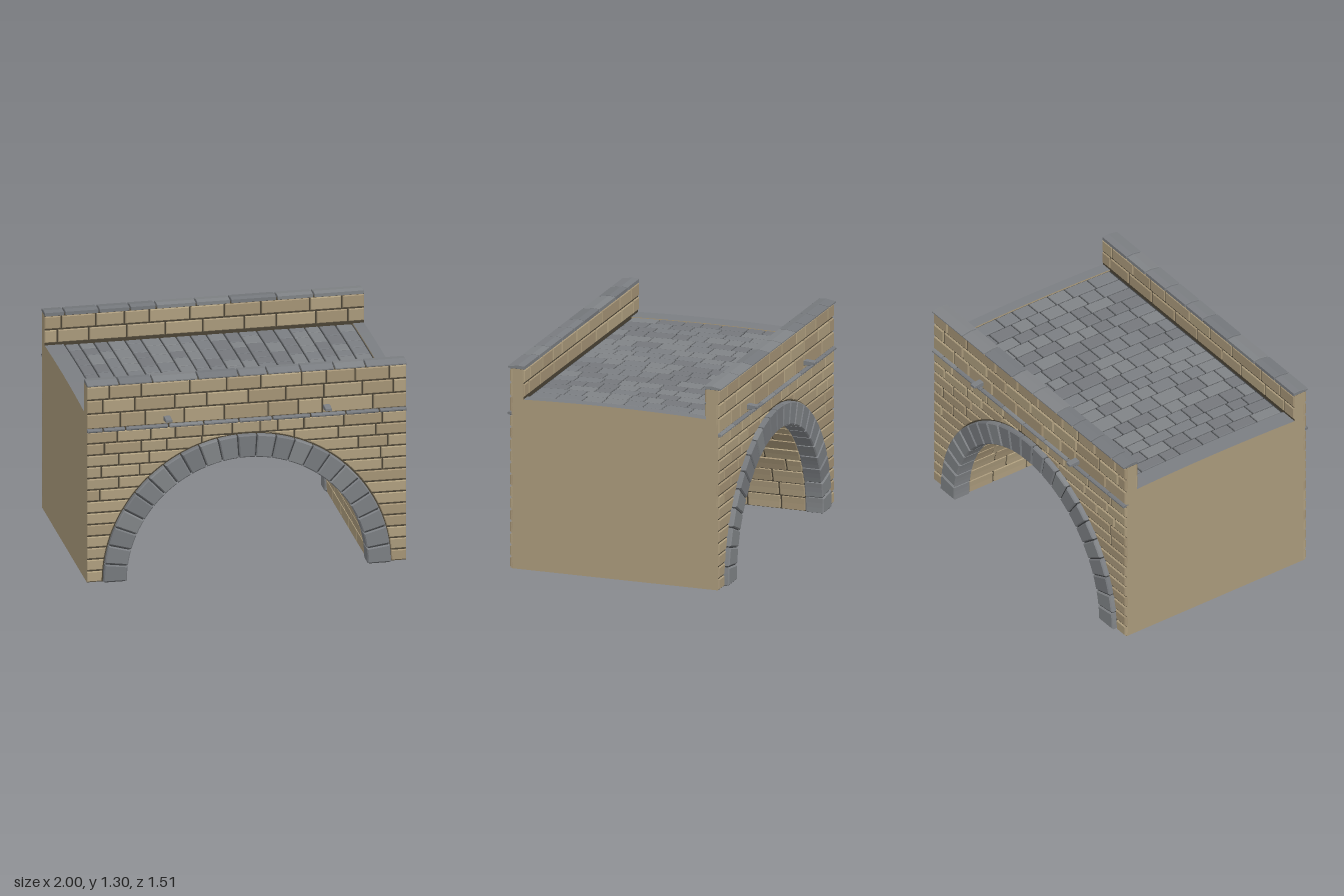
import * as THREE from 'three';
import { mergeGeometries } from 'three/addons/utils/BufferGeometryUtils.js';

const mat = (color, side = THREE.FrontSide) => new THREE.MeshStandardMaterial({ color, side });
const TAN = mat(0xa9997b), MORTAR = mat(0x4a4335), GREY = mat(0x7b7e82), JOINT = mat(0x3c3e40);
const TANS = [TAN, mat(0xae9e7e), mat(0xa49375)];
const GREYS = [GREY, mat(0x808386), mat(0x75787c)];
const G = 0.005;                                   // half joint width

let seed = 7;
const rnd = () => (seed = (seed * 16807) % 2147483647) / 2147483647;

// Bevelled prism: outline in xy, spanning z0..z1
function prism(pts, z0, z1, b = 0.005) {
  const shape = new THREE.Shape(pts.map(p => new THREE.Vector2(p[0], p[1])));
  return new THREE.ExtrudeGeometry(shape, {
    depth: z1 - z0 - 2 * b, bevelEnabled: b > 0, bevelThickness: b, bevelSize: b,
    bevelOffset: -b, bevelSegments: 1,
  }).translate(0, 0, z0 + b);
}
// Profile given as [z, y], running along x
const alongX = (profile, x0, x1, b) => prism(profile, -x1, -x0, b).rotateY(-Math.PI / 2);
const rect = (x0, y0, x1, y1) => [[x0, y0], [x1, y0], [x1, y1], [x0, y1]];

// Ring sector outline
function sector(r0, r1, a0, a1, n = 3) {
  const pts = [];
  for (let i = 0; i <= n; i++) { const a = a0 + (a1 - a0) * i / n; pts.push([r1 * Math.cos(a), r1 * Math.sin(a)]); }
  for (let i = n; i >= 0; i--) { const a = a0 + (a1 - a0) * i / n; pts.push([r0 * Math.cos(a), r0 * Math.sin(a)]); }
  return pts;
}

function addMesh(parent, name, geo, material) {
  const m = new THREE.Mesh(geo, material);
  m.name = name;
  parent.add(m);
  return m;
}
// Spread stones over a few shades, one merged mesh per shade
function addStones(parent, name, geos, shades) {
  const bins = shades.map(() => []);
  geos.forEach(g => bins[Math.floor(rnd() * shades.length)].push(g));
  bins.forEach((b, i) => b.length && addMesh(parent, name, mergeGeometries(b), shades[i]));
}

// Split -1..1 at the joints, leaving a gap at each
function spans(joints) {
  const e = [-1, ...joints, 1];
  return e.slice(1).map((x1, i) => [e[i] + (i ? G : 0), x1 - (i < joints.length ? G : 0)]);
}

// Wall stone on the +x side, cut by the arch circle; null if nothing is left
function cutStone(x0, x1, y0, y1) {
  const R = 0.908;
  const at = y => Math.sqrt(Math.max(0, R * R - y * y));
  const xs = at(y1), xe = Math.min(at(y0), x1);
  if (x1 - xs < 0.03) return null;
  if (x0 >= xe) return rect(x0, y0, x1, y1);
  const xa = Math.max(x0, xs), n = xe - xa < 0.05 ? 1 : 6, pts = [];
  for (let i = 0; i <= n; i++) {
    const x = xa + (xe - xa) * i / n;
    pts.push([x, Math.max(y0, Math.min(y1, at(x)))]);
  }
  if (xe < x1 - 0.001) pts.push([x1, y0]);
  pts.push([x1, y1]);
  if (x0 > xs) pts.push([x0, y1]);
  return pts;
}

// Courses above the arch: bottom, top, joints
const COURSES = [
  [1.19, 1.28, [-.86, -.66, -.355, -.125, .09, .345, .5, .68, .895]],
  [1.1, 1.19, [-.9, -.7, -.45, -.25, .01, .245, .485, .725, .92]],
  [1.0, 1.1, [-.79, -.635, -.39, -.14, .135, .325, .475, .79]],
  [0.905, 0.983, [-.81, -.6, -.445, -.275, -.09, .085, .195, .36, .61, .85]],
];
// Joints of the courses beside the arch, downwards from the crown
const SIDE_JOINTS = [[-.89, -.66, -.5, -.28, 0, .3, .575, .81], [-.8, -.61, 0, .7, .885],
  [-.91, -.67, 0, .84], [-.8, 0, .85], [-.92, 0]];

function wallFace(copingJoints) {
  const face = new THREE.Group();
  face.name = 'wallFace';
  const stones = [], inner = [];
  COURSES.forEach(([y0, y1, joints], row) => spans(joints).forEach(([a, b]) => {
    stones.push(prism(rect(a, y0 + G, b, y1 - G), 0.66, 0.686));
    if (row < 2) inner.push(prism(rect(a, y0 + G, b, y1 - G), 0.59, 0.61));
  }));
  for (let i = 0; i < 12; i++) {
    const h = 0.905 / 12, y1 = 0.905 - i * h - G, y0 = 0.905 - (i + 1) * h + G;
    spans(SIDE_JOINTS[i] || [0]).forEach(([a, b]) => {
      const left = b <= 0;
      const pts = left ? cutStone(-b, -a, y0, y1) : cutStone(a, b, y0, y1);
      if (pts) stones.push(prism(left ? pts.map(p => [-p[0], p[1]]) : pts, 0.66, 0.686));
    });
  }
  addStones(face, 'wallStones', stones, TANS);
  addStones(face, 'parapetInnerStones', inner, TANS);

  // Parapet core
  addMesh(face, 'parapetCore', new THREE.BoxGeometry(2, 0.24, 0.078).translate(0, 1.16, 0.637),
    [TAN, TAN, MORTAR, MORTAR, MORTAR, MORTAR]);

  // Arch ring
  const N = 23, step = Math.PI / N, ring = [];
  for (let i = 0; i < N; i++)
    ring.push(prism(sector(0.755, 0.9, i * step + 0.005, (i + 1) * step - 0.005), 0.59, 0.711, 0.007));
  addStones(face, 'archRingStones', ring, GREYS);
  addMesh(face, 'archRingMortar', prism(sector(0.764, 0.893, 0, Math.PI, 46), 0.595, 0.7, 0), JOINT);

  // Coping and string course
  const coping = [[.59, 1.279], [.685, 1.279], [.7, 1.286], [.7, 1.293], [.635, 1.304], [.59, 1.301]];
  addStones(face, 'copingStones', spans(copingJoints).map(([a, b]) => alongX(coping, a, b, 0.002)), GREYS);
  const string = [[.66, .981], [.694, .981], [.702, .988], [.702, .996], [.694, 1.002], [.66, 1.002]];
  const sj = [-.9, -.76, -.49, -.27, -.05, .16, .4, .62, .83];
  addStones(face, 'stringCourse', spans(sj).map(([a, b]) => alongX(string, a, b, 0.002)), GREYS);

  // Drain spouts
  const spout = [[.66, 1.026], [.7, 1.026], [.757, 1.037], [.757, 1.052], [.7, 1.057], [.66, 1.057]];
  for (const x of [-0.5, 0.5]) addMesh(face, 'drainSpout', alongX(spout, x - 0.02, x + 0.02, 0.002), GREY);
  return face;
}

// Road slab with a curved top
const camber = z => -0.012 * (z / 0.59) ** 2;
function camberSlab(parent, name, x0, x1, top, ends, surface) {
  const pts = [[-0.6, 1.03], [0.6, 1.03]];
  for (let i = 0; i <= 12; i++) { const z = 0.6 - i * 0.1; pts.push([z, top + camber(z)]); }
  addMesh(parent, name, alongX(pts, x0, x1, 0), [ends, surface]);
}

function roadway() {
  const road = new THREE.Group();
  road.name = 'roadway';
  const edges = [-.877, -.79, -.695, -.61, -.5, -.4, -.283, -.18, -.09, .01, .118, .21, .325, .43,
    .525, .625, .715, .82, .925];
  camberSlab(road, 'roadBed', -0.95, 0.95, 1.09, TAN, JOINT);
  camberSlab(road, 'roadEndBand', -1, edges[0] - G, 1.1, TAN, GREY);
  camberSlab(road, 'roadEndBand', edges[18] + G, 1, 1.1, TAN, GREY);
  const setts = [];
  for (let c = 0; c < 18; c++) {
    let z = -0.59, next = z + 0.07 + rnd() * 0.12;
    while (z < 0.59) {
      if (next > 0.53) next = 0.59;
      const g = prism(rect(edges[c] + G, z + G, edges[c + 1] - G, next - G), 1.06, 1.1, 0.003).rotateX(-Math.PI / 2);
      const p = g.attributes.position;
      for (let i = 0; i < p.count; i++) p.setY(i, p.getY(i) + camber(p.getZ(i)));
      setts.push(g);
      z = next;
      next = z + 0.1 + rnd() * 0.09;
    }
  }
  addStones(road, 'roadSetts', setts, GREYS);
  return road;
}

function vault() {
  const group = new THREE.Group();
  group.name = 'vault';
  // Mortar barrel behind the bricks
  addMesh(group, 'vaultMortar', new THREE.CylinderGeometry(0.776, 0.776, 1.3, 48, 1, true, 0, Math.PI)
    .rotateX(Math.PI / 2).rotateZ(Math.PI / 2), mat(0x4a4335, THREE.DoubleSide));
  const rows = 27, step = Math.PI / rows, bricks = [];
  for (let i = 0; i < rows; i++) {
    let z = -0.59, next = z + 0.1 + rnd() * 0.2;
    while (z < 0.59) {
      if (next > 0.5) next = 0.59;
      bricks.push(prism(sector(0.765, 0.795, i * step + 0.007, (i + 1) * step - 0.007, 2), z + G, next - G, 0.004));
      z = next;
      next = z + 0.17 + rnd() * 0.13;
    }
  }
  addStones(group, 'vaultBricks', bricks, TANS);
  return group;
}

export function createModel() {
  const model = new THREE.Group();
  model.name = 'stoneBridge';

  // Solid body with the arch opening
  const outline = [[1, 0], [1, 1.06], [-1, 1.06], [-1, 0]];
  for (let i = 0; i <= 48; i++) {
    const a = Math.PI * (1 - i / 48);
    outline.push([0.78 * Math.cos(a), 0.78 * Math.sin(a)]);
  }
  addMesh(model, 'body', prism(outline, -0.676, 0.676, 0), [MORTAR, TAN]);

  const front = wallFace([-.8, -.59, -.305, -.05, .13, .34, .55, .745]);
  const back = wallFace([-.685, -.455, -.165, .05, .3, .465, .66, .875]);
  back.rotation.y = Math.PI;
  model.add(front, back, roadway(), vault());
  return model;
}
